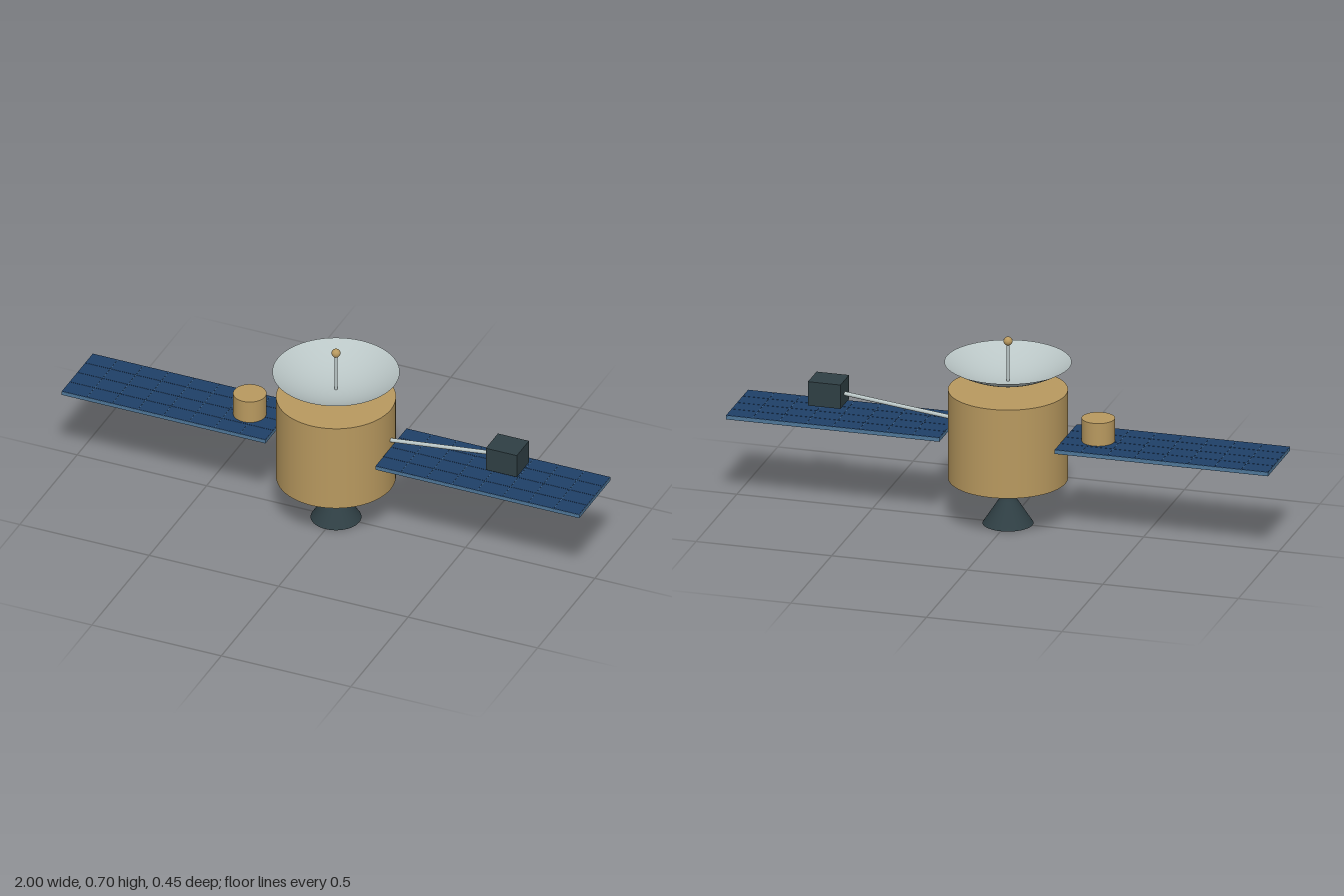
import * as THREE from 'three';

const mat = (color, side = THREE.FrontSide) => new THREE.MeshStandardMaterial({ color, side });

export function createModel() {
  const group = new THREE.Group();
  const gold = mat(0xb8995f), dark = mat(0x2f3f44), silver = mat(0xbac6c6);
  const frameBlue = mat(0x4f7799), navy = mat(0x1f4068);

  const add = (name, geometry, material, x = 0, y = 0, z = 0, parent = group) => {
    const mesh = new THREE.Mesh(geometry, material);
    mesh.name = name;
    mesh.position.set(x, y, z);
    parent.add(mesh);
    return mesh;
  };
  // Upright cylinder between two heights
  const drum = (name, r, y0, y1, material, x = 0, segments = 48) =>
    add(name, new THREE.CylinderGeometry(r, r, y1 - y0, segments), material, x, (y0 + y1) / 2);

  // Main body and engine
  drum('body', 0.212, 0.17, 0.503, gold, 0, 64);
  drum('engineCollar', 0.027, 0.15, 0.17, gold, 0, 32);
  const bell = [[0.09, 0], [0.033, 0.088], [0.016, 0.128], [0.024, 0.152]];
  add('engineNozzle', new THREE.LatheGeometry(bell.map(([r, y]) => new THREE.Vector2(r, y)), 48),
    mat(0x2f3f44, THREE.DoubleSide));

  // Parabolic dish with its feed mast
  const dish = [];
  for (let i = 0; i <= 16; i++) {
    const t = i / 16;
    dish.push(new THREE.Vector2(0.225 * t, 0.535 + 0.071 * t * t));
  }
  add('dish', new THREE.LatheGeometry(dish, 64), mat(0xbac6c6, THREE.DoubleSide));
  drum('feedMast', 0.006, 0.535, 0.675, silver, 0, 16);
  add('feedTip', new THREE.SphereGeometry(0.016, 24, 16), gold, 0, 0.685);

  // Solar wings: a framed slab with cells on both faces
  const inner = 0.212, length = 1 - inner, width = 0.272, cols = 8, rows = 4;
  const stepX = length / cols, stepZ = width / rows;
  for (const side of [-1, 1]) {
    const wing = new THREE.Group();
    wing.name = side > 0 ? 'leftSolarWing' : 'rightSolarWing';
    wing.position.set(side * (inner + length / 2), 0.338, 0);
    group.add(wing);
    add('wingFrame', new THREE.BoxGeometry(length, 0.0135, width), frameBlue, 0, 0, 0, wing);
    const cell = new THREE.BoxGeometry(stepX - 0.002, 0.0155, stepZ - 0.002);
    for (let i = 0; i < cols; i++) {
      for (let j = 0; j < rows; j++) {
        add('solarCell', cell, navy, (i + 0.5) * stepX - length / 2, 0, (j + 0.5) * stepZ - width / 2, wing);
      }
    }
  }

  // Canister above and below the right wing
  drum('canister', 0.059, 0.308, 0.431, gold, -0.333);

  // Instrument box on a slanted boom
  const start = new THREE.Vector3(0.2, 0.374, 0), end = new THREE.Vector3(0.615, 0.424, 0);
  const dir = end.clone().sub(start);
  const boom = add('instrumentBoom', new THREE.CylinderGeometry(0.0075, 0.0075, dir.length(), 16), silver);
  boom.position.copy(start).add(end).multiplyScalar(0.5);
  boom.quaternion.setFromUnitVectors(new THREE.Vector3(0, 1, 0), dir.normalize());
  add('instrumentBox', new THREE.BoxGeometry(0.12, 0.09, 0.106), dark, 0.662, 0.428, 0);

  return group;
}
